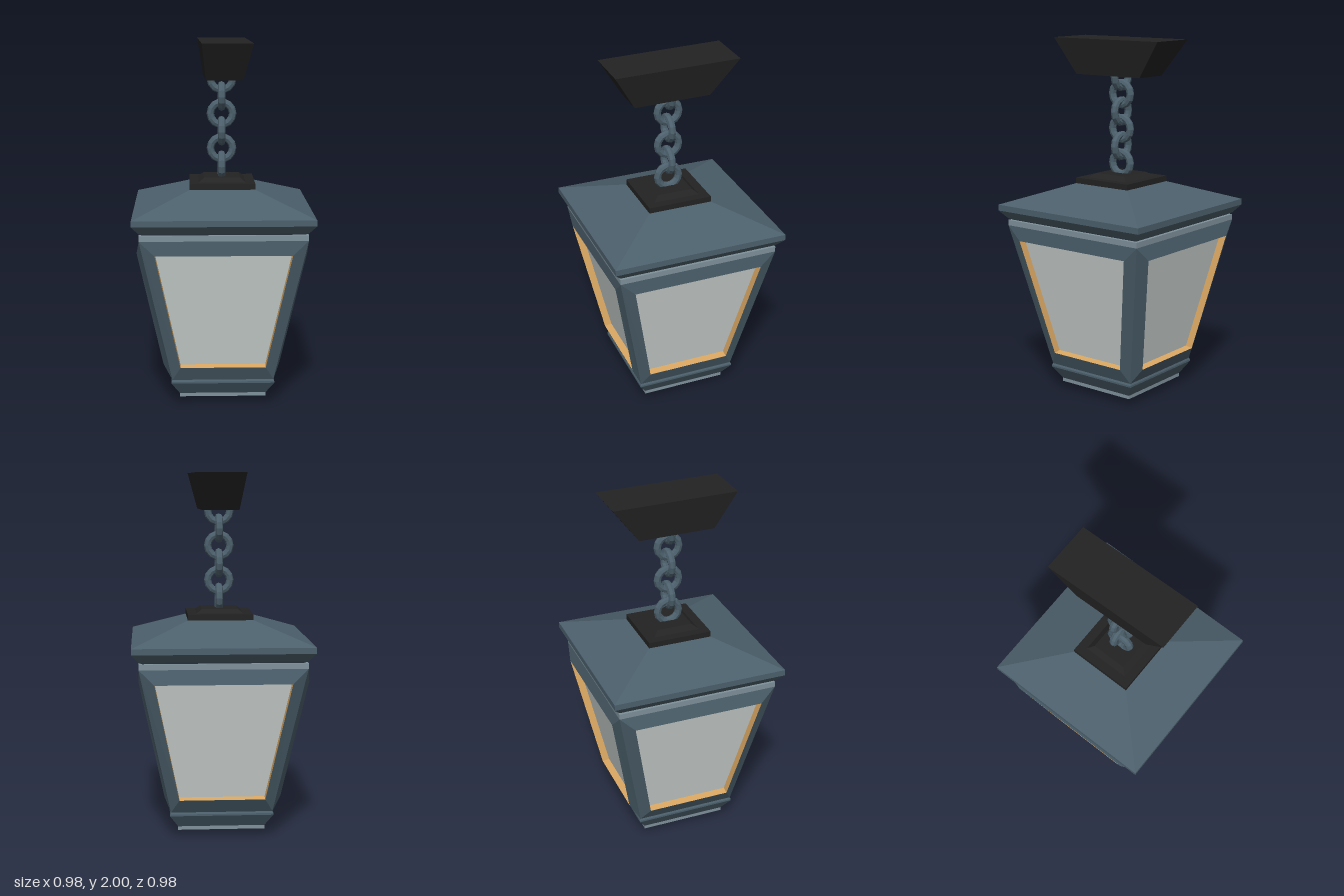
import * as THREE from 'three';

const mat = (color) => new THREE.MeshStandardMaterial({ color, flatShading: true });

// Square solid of revolution from [halfWidth, y] pairs, bottom to top
function squareLathe(profile) {
  const pts = profile.map(([w, y]) => new THREE.Vector2(w * Math.SQRT2, y));
  return new THREE.LatheGeometry(pts, 4, Math.PI / 4);
}

// Faces from a list of quads, corners counter-clockwise from outside
function quads(list) {
  const pos = list.flatMap(([a, b, c, d]) => [a, b, c, a, c, d].flat());
  const g = new THREE.BufferGeometry();
  g.setAttribute('position', new THREE.Float32BufferAttribute(pos, 3));
  g.computeVertexNormals();
  return g;
}

// Band of four quads between an outer and an inner loop
const band = (outer, inner) => quads(outer.map((p, i) => {
  const j = (i + 1) % 4;
  return [p, outer[j], inner[j], inner[i]];
}));

// Trapezoid facing +z: bottom and top half widths, heights and depths
const trapezoid = (wb, yb, zb, wt, yt, zt) =>
  [[-wb, yb, zb], [wb, yb, zb], [wt, yt, zt], [-wt, yt, zt]];

export function createModel() {
  const model = new THREE.Group();
  const steel = mat(0x4c606c), paleSteel = mat(0x7f919b), darkSteel = mat(0x29323a);
  const black = mat(0x232323), brass = mat(0xd9a662), glass = mat(0xcdd4d1);
  const add = (name, geometry, material, parent = model) => {
    const mesh = new THREE.Mesh(geometry, material);
    mesh.name = name;
    parent.add(mesh);
    return mesh;
  };

  // Stepped foot
  add('bottomPlate', squareLathe([[0, 0], [0.1, 0], [0.24, 0.04]]), darkSteel);
  add('bottomTrim', squareLathe([[0.24, 0.04], [0.24, 0.06]]), paleSteel);
  add('foot', squareLathe([[0.24, 0.06], [0.285, 0.13], [0.285, 0.14], [0.28, 0.15]]), steel);

  // Four window panels with raised frames, brass reveals and recessed glass
  for (let i = 0; i < 4; i++) {
    const side = new THREE.Group();
    side.name = 'windowPanel';
    side.rotation.y = i * Math.PI / 2;
    const raise = i < 2 ? 0 : 0.015;
    const outer = trapezoid(0.28, 0.15, 0.28, 0.45, 0.97, 0.45);
    const opening = trapezoid(0.235, 0.23, 0.315 + raise, 0.367, 0.89, 0.45 + raise);
    const recessed = opening.map(([x, y, z]) => [x, y + 0.008, z - 0.04]);
    add('windowFrame', band(outer, opening), steel, side);
    add('windowReveal', band(opening, recessed), brass, side);
    add('windowGlass', quads([recessed]), glass, side);
    model.add(side);
  }

  // Eaves and roof
  add('topTrim', squareLathe([[0.45, 0.97], [0.45, 1.0], [0.43, 1.0]]), paleSteel);
  add('roof', squareLathe([
    [0.43, 1.0], [0.45, 1.01], [0.488, 1.055], [0.488, 1.088], [0.18, 1.2], [0, 1.2],
  ]), steel);
  add('roofCap', squareLathe([
    [0.18, 1.2], [0.18, 1.232], [0.13, 1.232], [0.1, 1.255], [0, 1.255],
  ]), black);

  // Chain of links turned alternately
  const link = new THREE.TorusGeometry(0.062, 0.021, 8, 14);
  for (let i = 0; i < 6; i++) {
    const mesh = add('chainLink', link, steel);
    mesh.position.y = 1.31 + i * 0.0965;
    mesh.rotation.y = i % 2 ? 0 : Math.PI / 2;
  }

  // Ceiling mount: slightly skewed block, narrower at the bottom
  const low = [[-0.09, 1.8, 0.23], [0.11, 1.8, 0.23], [0.1, 1.8, -0.2], [-0.1, 1.8, -0.2]];
  const high = [[-0.113, 2, 0.35], [0.16, 2, 0.35], [0.145, 2, -0.35], [-0.13, 2, -0.35]];
  add('ceilingMountSides', band(low, high), black);
  add('ceilingMountEnds', quads([high, [...low].reverse()]), black);

  return model;
}
